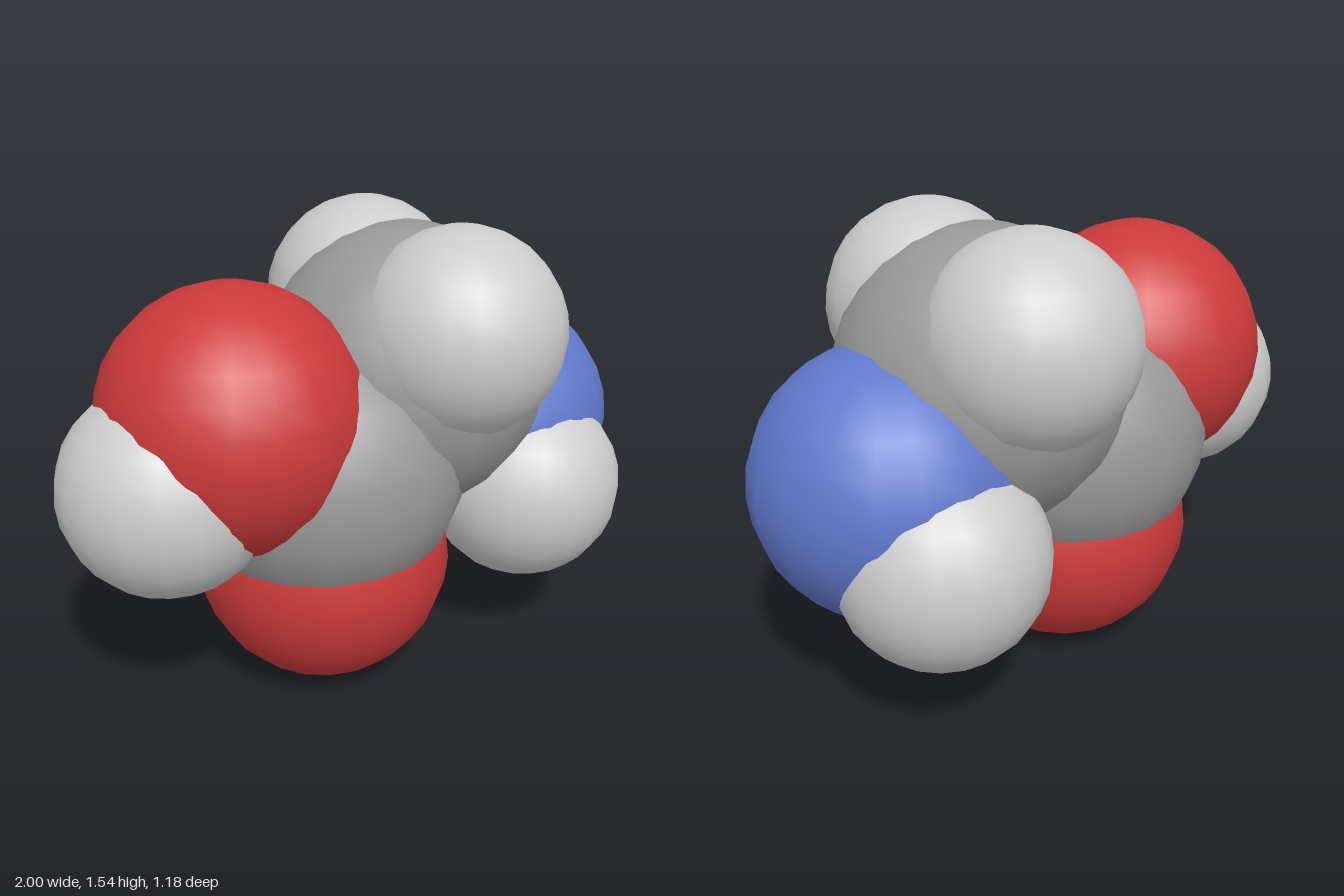
import * as THREE from 'three';

const mat = (name, color) => {
  const m = new THREE.MeshStandardMaterial({ color });
  m.name = name;
  return m;
};

export function createModel() {
  const group = new THREE.Group();
  group.name = 'molecule';

  // Element kinds: colour and sphere radius
  const kinds = {
    carbon: { r: 0.475, m: mat('grey', 0x999999) },
    oxygen: { r: 0.425, m: mat('red', 0xcc3a3a) },
    nitrogen: { r: 0.432, m: mat('blue', 0x6079cc) },
    hydrogen: { r: 0.333, m: mat('paleGrey', 0xcccccc) },
  };
  for (const k of Object.values(kinds)) {
    k.g = new THREE.SphereGeometry(k.r, 19, 14);
    k.g.rotateY(-Math.PI / 2);
  }

  const atom = (name, kind, x, y, z = 0) => {
    const mesh = new THREE.Mesh(kinds[kind].g, kinds[kind].m);
    mesh.name = name;
    mesh.position.set(x, y, z);
    group.add(mesh);
  };

  // Acid end
  atom('acidCarbon', 'carbon', -0.12, 0.763);
  atom('lowerOxygen', 'oxygen', -0.115, 0.425);
  atom('upperOxygen', 'oxygen', -0.435, 0.982);
  atom('acidHydrogen', 'hydrogen', -0.668, 0.817);

  // Middle carbon and amine end
  atom('middleCarbon', 'carbon', 0.215, 1.022);
  atom('amineNitrogen', 'nitrogen', 0.57, 0.77);

  // Mirrored hydrogen pairs
  for (const [side, s] of [['front', 1], ['back', -1]]) {
    atom(side + 'UpperHydrogen', 'hydrogen', 0.233, 1.203, s * 0.257);
    atom(side + 'AmineHydrogen', 'hydrogen', 0.558, 0.597, s * 0.237);
  }
  return group;
}
